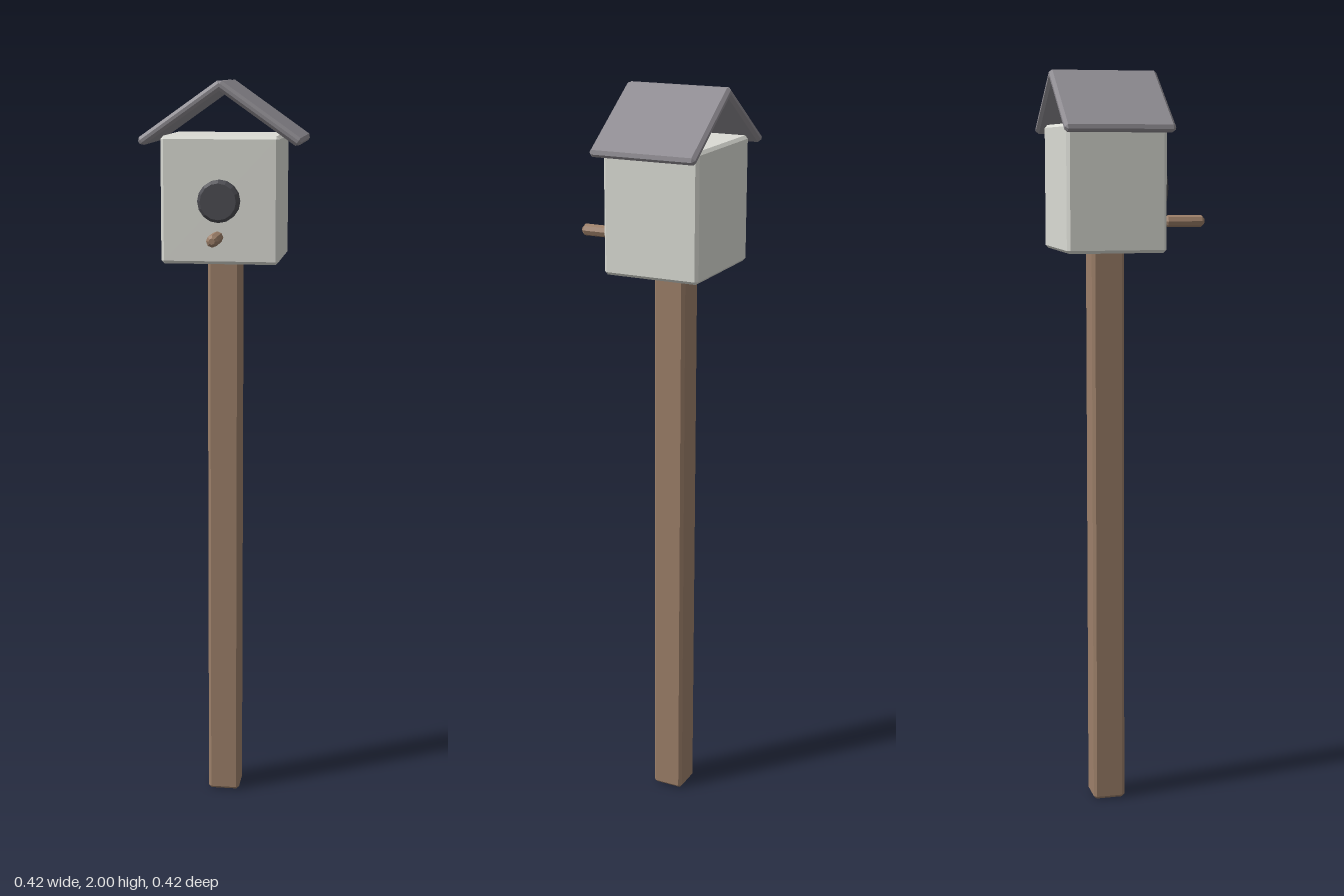
import * as THREE from 'three';
import { ConvexGeometry } from 'three/addons/geometries/ConvexGeometry.js';

const material = (color) => new THREE.MeshStandardMaterial({ color, flatShading: true });
const WOOD = material(0x9c7f69);
const WALL = material(0xdadbd4);
const ROOF = material(0x8d8a90);
const DARK = material(0x4c4c52);

// Box with every edge cut by a flat chamfer c
function chamferBox(w, h, d, c) {
  const points = [];
  const [x, y, z] = [w / 2, h / 2, d / 2];
  for (const sx of [-1, 1]) for (const sy of [-1, 1]) for (const sz of [-1, 1]) {
    points.push(
      new THREE.Vector3(sx * x, sy * (y - c), sz * (z - c)),
      new THREE.Vector3(sx * (x - c), sy * y, sz * (z - c)),
      new THREE.Vector3(sx * (x - c), sy * (y - c), sz * z));
  }
  return new ConvexGeometry(points);
}

// Cylinder along z with chamfered rims
function chamferRod(r, z0, z1, c, sides) {
  const profile = [[0, z0], [r - c, z0], [r, z0 + c], [r, z1 - c], [r - c, z1], [0, z1]]
    .map(([a, b]) => new THREE.Vector2(a, b));
  return new THREE.LatheGeometry(profile, sides).rotateX(Math.PI / 2);
}

export function createModel() {
  const model = new THREE.Group();
  model.name = 'birdhouse';
  const add = (name, geometry, mat, x, y, z) => {
    const mesh = new THREE.Mesh(geometry, mat);
    mesh.name = name;
    mesh.position.set(x, y, z);
    model.add(mesh);
    return mesh;
  };

  // Post and house body; the gables above the body stay open
  add('post', chamferBox(0.088, 1.55, 0.088, 0.008), WOOD, 0, 0.775, -0.064);
  add('houseBody', chamferBox(0.31, 0.33, 0.264, 0.008), WALL, 0, 1.698, -0.065);

  // Entrance disc and the perch in front of it
  add('entrance', chamferRod(0.055, 0.05, 0.098, 0.008, 16), DARK, 0, 1.698, 0);
  add('perch', chamferRod(0.016, 0.1, 0.21, 0.008, 8), WOOD, 0, 1.608, 0);

  // Two sloping roof panels meeting at the ridge
  const slope = 0.61, thickness = 0.024, length = 0.264;
  const ridge = 2.006;
  const cx = Math.cos(slope) * length / 2 - Math.sin(slope) * thickness / 2;
  const cy = ridge - Math.sin(slope) * length / 2 - Math.cos(slope) * thickness / 2;
  for (const side of [1, -1]) {
    const panel = add(side > 0 ? 'leftRoofPanel' : 'rightRoofPanel',
      chamferBox(length, thickness, 0.288, 0.008), ROOF, side * cx, cy, -0.068);
    panel.rotation.z = -side * slope;
  }
  return model;
}
